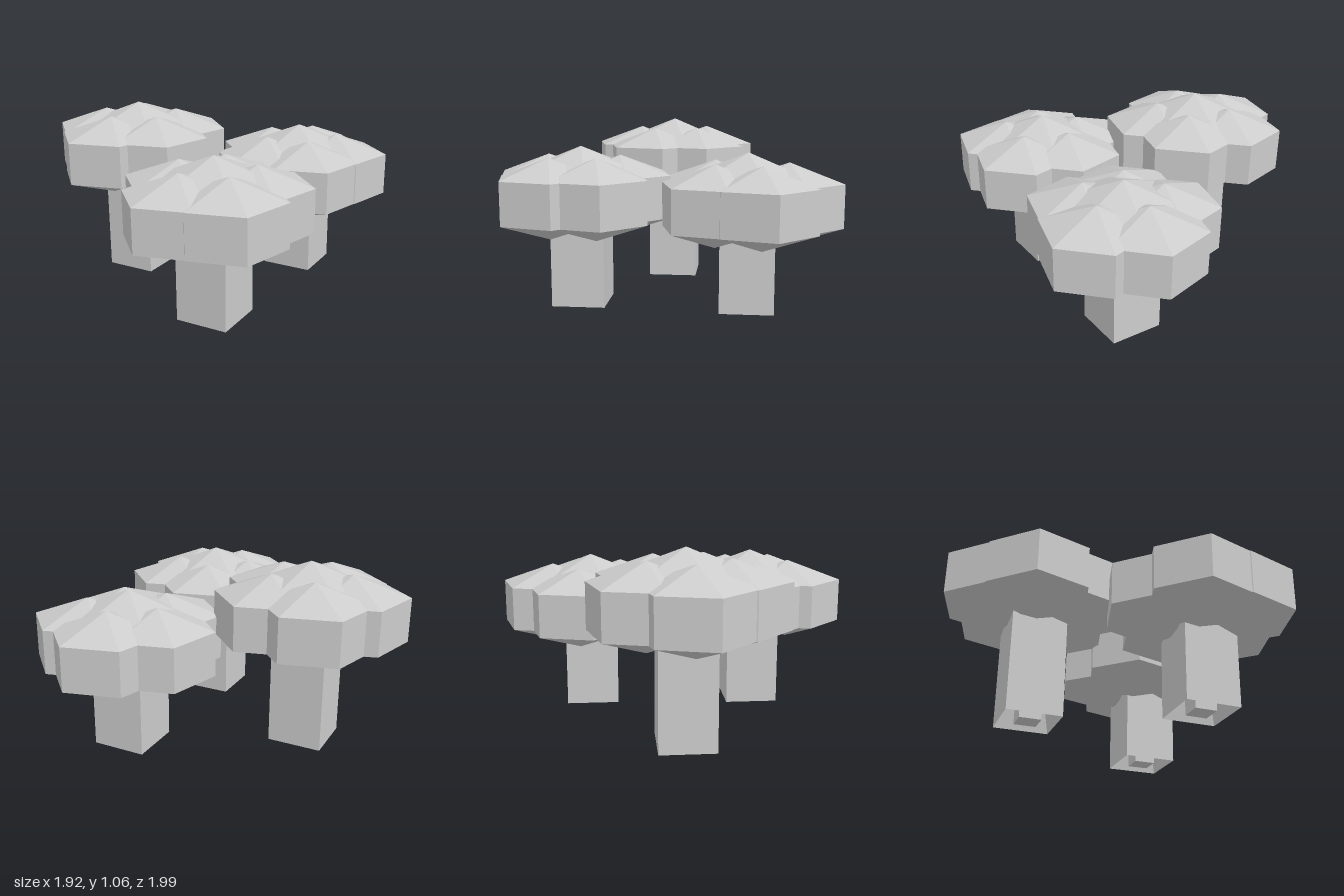
import * as THREE from 'three';

const stone = new THREE.MeshStandardMaterial({ color: 0xcccccc, flatShading: true });
stone.name = 'pale grey';

// Faceted solid turned from [radius, height] pairs
function turned(name, sides, profile) {
  const points = profile.map(([r, y]) => new THREE.Vector2(r, y));
  const geometry = new THREE.LatheGeometry(points, sides).toNonIndexed();
  geometry.computeVertexNormals();
  const mesh = new THREE.Mesh(geometry, stone);
  mesh.name = name;
  return mesh;
}

// Hexagonal prism with a pointed top and underside, its lower rim at y = 0
const crown = (name, peak) =>
  turned(name, 6, [[0, -0.11], [0.315, 0], [0.315, 0.25], [0, 0.25 + peak]]);

// One tree: square trunk, five crowns in a ring and a raised one in the middle
function tree(name, x, z, rim, turn) {
  const group = new THREE.Group();
  group.name = name;
  group.position.set(x, 0, z);

  // Trunk with a tapering hollow foot and a small core post inside it
  group.add(turned('trunk', 4, [[0.088, 0.42], [0.22, 0], [0.22, rim + 0.1]]));
  group.add(turned('corePost', 4, [[0, 0], [0.088, 0], [0.088, 0.45]]));

  for (let i = 0; i < 5; i++) {
    const angle = THREE.MathUtils.degToRad(turn + i * 72);
    const part = crown('outerCrown', 0.112);
    part.position.set(0.232 * Math.cos(angle), rim, 0.232 * Math.sin(angle));
    group.add(part);
  }
  const middle = crown('middleCrown', 0.122);
  middle.position.y = rim + 0.045;
  group.add(middle);
  return group;
}

export function createModel() {
  const model = new THREE.Group();
  model.name = 'treeCluster';
  model.add(
    tree('tallTree', -0.498, -0.465, 0.64, 1.5),
    tree('rightTree', 0.472, -0.205, 0.49, 25),
    tree('frontTree', -0.257, 0.45, 0.515, 13)
  );
  return model;
}
